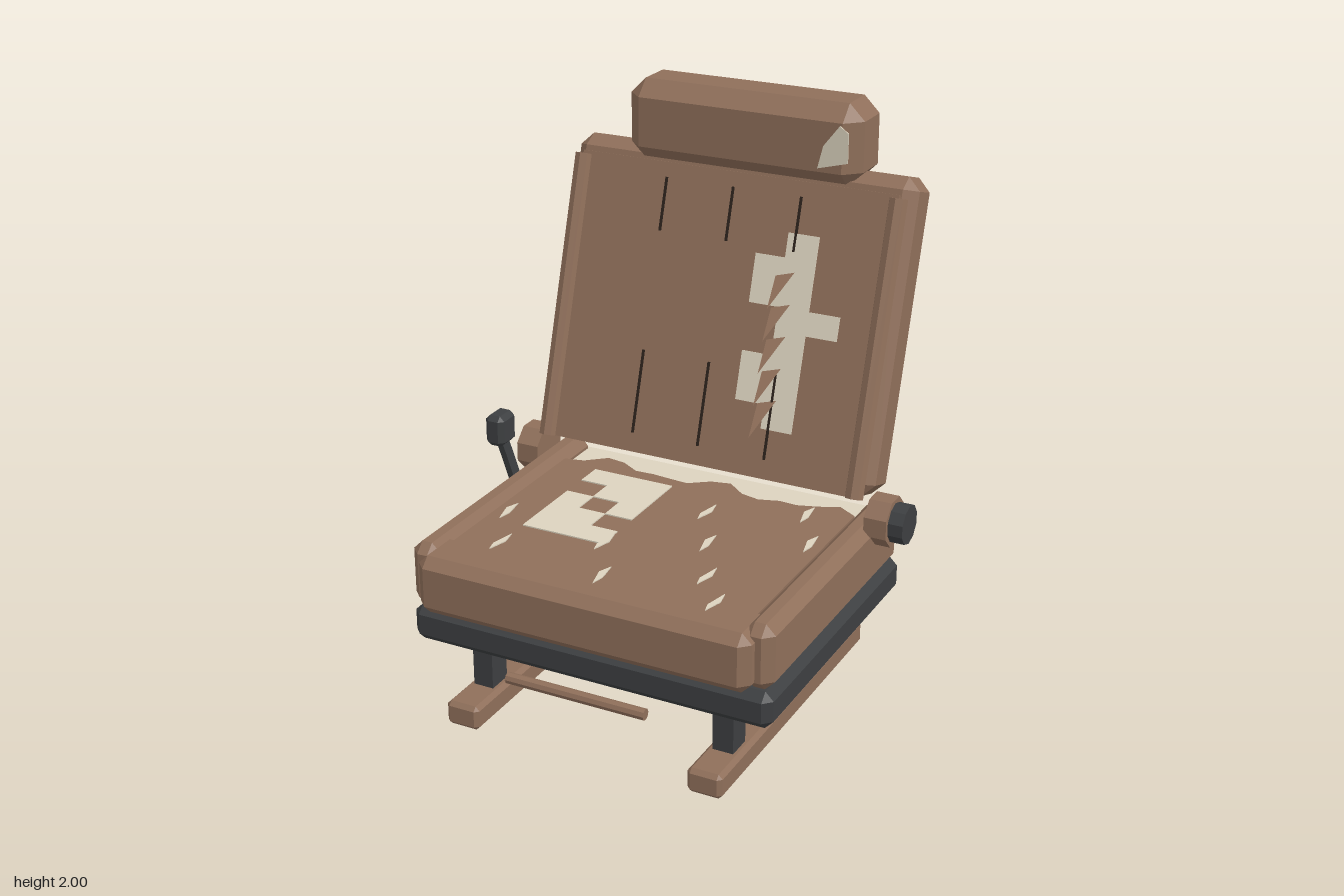
import * as THREE from 'three';
import { ConvexGeometry } from 'three/addons/geometries/ConvexGeometry.js';

const mat = (name, color, side = THREE.FrontSide) => {
  const m = new THREE.MeshStandardMaterial({ color, side, flatShading: true });
  m.name = name;
  return m;
};

// Box with flat chamfers on every edge, given by its extents
function chamferBox([x0, x1], [y0, y1], [z0, z1], c) {
  const pts = [];
  const h = [(x1 - x0) / 2, (y1 - y0) / 2, (z1 - z0) / 2];
  for (const sx of [-1, 1]) for (const sy of [-1, 1]) for (const sz of [-1, 1]) {
    for (let full = 0; full < 3; full++) {
      const e = h.map((v, i) => (i === full ? v : v - c));
      pts.push(new THREE.Vector3(sx * e[0], sy * e[1], sz * e[2]));
    }
  }
  return new ConvexGeometry(pts).translate((x0 + x1) / 2, (y0 + y1) / 2, (z0 + z1) / 2);
}

const shapeOf = (pts) => new THREE.Shape(pts.map((p) => new THREE.Vector2(p[0], p[1])));
const plate = (pts, depth) => new THREE.ExtrudeGeometry(shapeOf(pts), { depth, bevelEnabled: false });

export function createModel() {
  const leather = mat('worn brown leather', 0x8f6f5a, THREE.DoubleSide);
  const metal = mat('dark metal', 0x3d3f41);
  const foam = mat('exposed foam', 0xdcd3bf, THREE.DoubleSide);
  const thread = mat('seam thread', 0x2b211b);

  const root = new THREE.Group();
  root.name = 'carSeat';
  const add = (name, geo, material, parent = root) => {
    const m = new THREE.Mesh(geo, material);
    m.name = name;
    parent.add(m);
    return m;
  };
  const rect = (x0, x1, y0, y1) => [[x0, y0], [x1, y0], [x1, y1], [x0, y1]];

  // Rails, legs and seat pan
  for (const s of [-1, 1]) {
    const x = s * 0.457 - 0.003;
    add('rail', chamferBox([x - 0.063, x + 0.063], [0, 0.09], [-0.51, 0.67], 0.015), leather);
    for (const z of [0.48, -0.292]) {
      add('leg', new THREE.BoxGeometry(0.075, 0.22, 0.092).translate(x, 0.19, z), metal);
    }
  }
  add('seatPan', chamferBox([-0.67, 0.666], [0.272, 0.405], [-0.475, 0.632], 0.03), metal);
  add('slideBar', new THREE.CylinderGeometry(0.02, 0.02, 0.515, 8).rotateZ(Math.PI / 2)
    .translate(-0.003, 0.26, 0.685), leather);

  // Seat cushion: side bolsters, front roll and foam core
  for (const s of [-1, 1]) {
    const xs = s < 0 ? [-0.67, -0.562] : [0.558, 0.666];
    add('seatBolster', chamferBox(xs, [0.408, 0.64], [-0.44, 0.63], 0.035), leather);
  }
  add('seatFrontRoll', chamferBox([-0.615, 0.61], [0.41, 0.622], [0.48, 0.685], 0.035), leather);
  add('seatFoamCore', new THREE.BoxGeometry(1.14, 0.19, 0.96).translate(0, 0.5, 0.06), foam);

  // Leather cover with a torn, wavy rear edge
  const cover = [[-0.565, -0.615], [0.565, -0.615]];
  for (let i = 0; i <= 16; i++) {
    const t = i / 16;
    cover.push([0.565 - 1.13 * t, 0.275 + 0.03 * Math.sin(t * 17) + 0.02 * Math.sin(t * 31)]);
  }
  add('seatCover', plate(cover, 0.032).rotateX(-Math.PI / 2).translate(0, 0.588, 0), leather);

  // Torn patch on the seat, in square pieces: [column, row]
  const cells = [[0, 0], [1, 0], [2, 0], [1, 1], [2, 1], [0, 2], [2, 2], [0, 3], [1, 3], [0, 4], [1, 4], [2, 4]];
  for (const [c, r] of cells) {
    add('seatTear', new THREE.BoxGeometry(0.104, 0.005, 0.102)
      .translate(-0.363 + c * 0.104, 0.622, -0.148 + r * 0.102), foam);
  }

  // Small slits scattered over the seat: [x, z]
  const slits = [[0.1, -0.065], [0.205, 0.15], [0.312, 0.365], [0.515, 0], [-0.417, 0.455], [0, 0.515],
    [0.415, 0.515], [-0.52, 0.24], [-0.105, 0.3], [0.415, -0.2]];
  slits.forEach(([x, z], i) => {
    const k = i % 2 ? 1 : -1;
    const pts = [[0.005 * k, -0.06], [0.015, -0.012 * k], [0.004, 0.068], [-0.015, 0.02 * k]];
    add('seatSlit', plate(pts, 0.004).rotateX(-Math.PI / 2).translate(x, 0.621, z), foam);
  });

  // Recliner hinges, knob and lever
  const disc = (r, x0, x1, sides) => new THREE.CylinderGeometry(r, r, x1 - x0, sides)
    .rotateY(Math.PI / sides).rotateZ(Math.PI / 2).translate((x0 + x1) / 2, 0.643, -0.253);
  add('hingeRight', disc(0.09, -0.725, -0.64, 8), leather);
  add('hingeLeft', disc(0.09, 0.64, 0.722, 8), leather);
  add('reclineKnob', disc(0.071, 0.722, 0.775, 10), metal);
  const stalk = new THREE.LineCurve3(new THREE.Vector3(-0.675, 0.4, -0.15), new THREE.Vector3(-0.74, 0.75, -0.08));
  add('leverStalk', new THREE.TubeGeometry(stalk, 1, 0.024, 6), metal);
  add('leverHandle', chamferBox([-0.776, -0.7], [0.712, 0.83], [-0.133, -0.028], 0.018), metal);

  // Reclined backrest; local y runs up the back, local z is its outward normal
  const back = new THREE.Group();
  back.name = 'backrest';
  back.rotation.x = -0.3;
  root.add(back);
  const face = 0.046;
  const up = (y) => (y - Math.sin(0.3) * face) / Math.cos(0.3);
  add('backShell', chamferBox([-0.65, 0.645], [0.757, 1.851], [-0.165, 0.025], 0.045), leather, back);
  add('backPanel', new THREE.BoxGeometry(1.2, up(1.72) - up(0.735), 0.024)
    .translate(-0.002, (up(1.72) + up(0.735)) / 2, face - 0.012), leather, back);
  for (const x of [-0.6, 0.597]) {
    add('backPiping', new THREE.CylinderGeometry(0.033, 0.033, 1.02, 8).translate(x, 1.265, 0.042), leather, back);
  }

  // Stitched seams
  for (const x of [-0.26, -0.003, 0.253]) {
    for (const [y0, y1] of [[0.8, 1.085], [1.49, 1.67]]) {
      add('backSeam', new THREE.BoxGeometry(0.008, up(y1) - up(y0), 0.008)
        .translate(x, (up(y0) + up(y1)) / 2, face + 0.003), thread, back);
    }
  }

  // Torn patch on the backrest
  const tears = [[0.225, 0.34, 0.9, 1.55], [0.115, 0.225, 1.305, 1.468], [0.115, 0.225, 0.98, 1.145],
    [0.34, 0.455, 1.225, 1.305]];
  for (const [x0, x1, y0, y1] of tears) {
    add('backTear', plate(rect(x0, x1, up(y0), up(y1)), 0.004).translate(0, 0, face), foam, back);
  }

  // Leather flaps curling out of the tear
  for (let i = 0; i < 5; i++) {
    const y = up(1.405 - i * 0.106);
    const flap = new THREE.BufferGeometry().setFromPoints([
      new THREE.Vector3(0.2, y, face + 0.004),
      new THREE.Vector3(0.226, y - 0.11, face + 0.1),
      new THREE.Vector3(0.268, y + 0.02, face + 0.004),
    ]);
    flap.computeVertexNormals();
    add('tornFlap', flap, leather, back);
  }

  // Upright headrest with a scuffed corner
  add('headrest', chamferBox([-0.427, 0.453], [1.71, 2], [-0.705, -0.463], 0.057), leather);
  const scuff = [[0.31, 1.78], [0.42, 1.81], [0.42, 1.912], [0.388, 1.935], [0.33, 1.86]];
  add('headrestScuff', plate(scuff, 0.004).translate(0, 0, -0.463), foam);

  return root;
}
